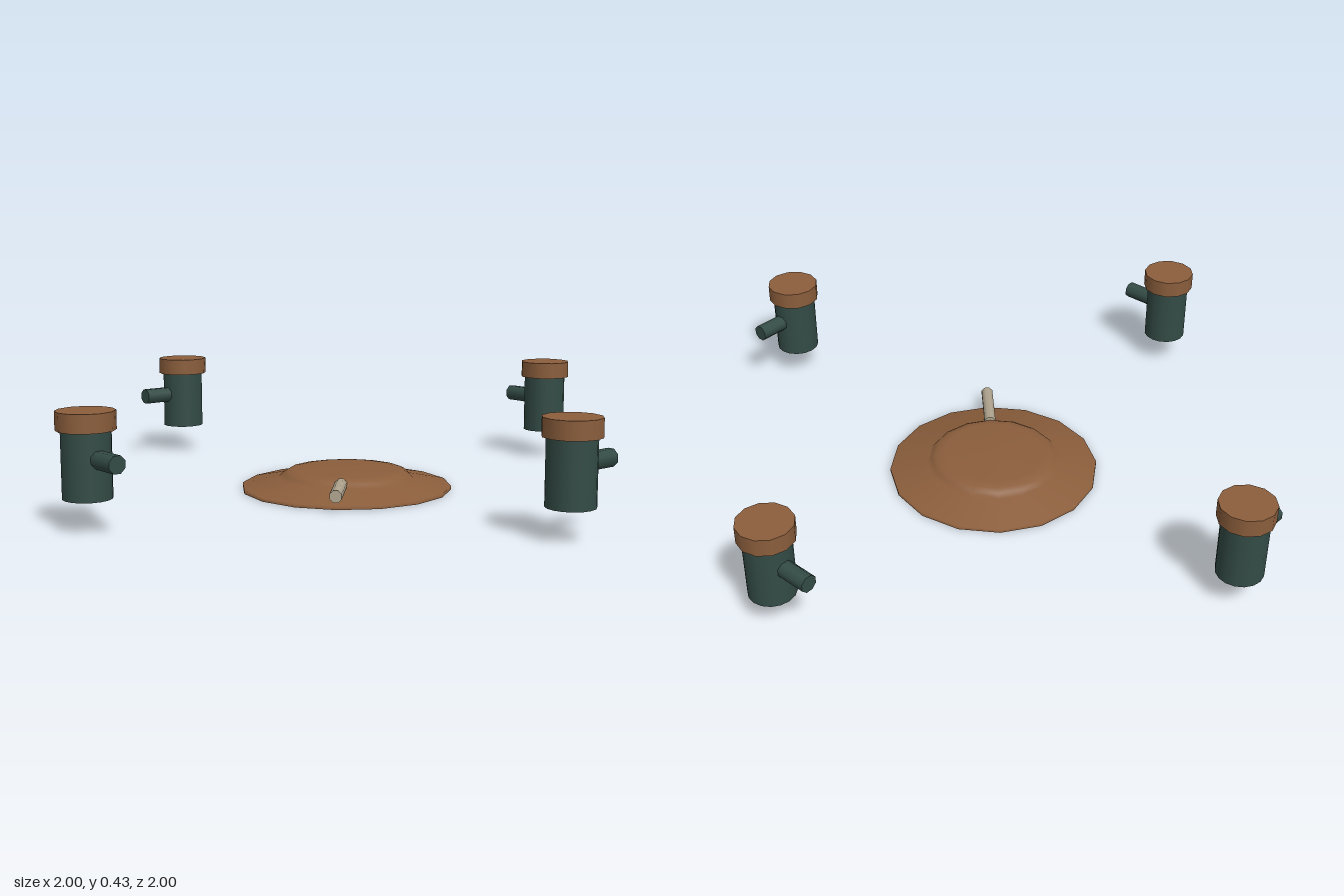
import * as THREE from 'three';

const brown = new THREE.MeshStandardMaterial({ name: 'brown', color: 0x8b5e3c, side: THREE.DoubleSide });
const green = new THREE.MeshStandardMaterial({ name: 'darkGreen', color: 0x344c46 });
const cream = new THREE.MeshStandardMaterial({ name: 'cream', color: 0xb0a58f });

function part(name, geometry, material, x = 0, y = 0, z = 0) {
  const mesh = new THREE.Mesh(geometry, material);
  mesh.name = name;
  mesh.position.set(x, y, z);
  return mesh;
}

// Eight-sided rod lying along +z, flats up and down
function rod(radius, length) {
  return new THREE.CylinderGeometry(radius, radius, length, 8)
    .rotateY(Math.PI / 8)
    .rotateX(Math.PI / 2);
}

// Upright canister with a wider cap and one side pipe
function createCanister(name) {
  const g = new THREE.Group();
  g.name = name;
  g.add(part('body', new THREE.CylinderGeometry(0.089, 0.089, 0.25, 16), green, 0, 0.243, 0));
  g.add(part('cap', new THREE.CylinderGeometry(0.106, 0.106, 0.068, 12), brown, 0, 0.394, 0));
  g.add(part('sidePipe', rod(0.034, 0.165), green, 0, 0.265, 0.1225));
  return g;
}

export function createModel() {
  const model = new THREE.Group();
  model.name = 'dishAndCanisters';

  // Low open-bottomed dish with a raised centre
  const profile = [
    [0.422, 0], [0.422, 0.014], [0.27, 0.046], [0.255, 0.062],
    [0.235, 0.074], [0.2, 0.08], [0, 0.086],
  ].map(([r, y]) => new THREE.Vector2(r, y));
  model.add(part('dish', new THREE.LatheGeometry(profile, 16), brown));

  // Short bar resting on the front slope
  model.add(part('frontBar', rod(0.025, 0.23), cream, 0, 0.061, 0.355));

  // Four canisters, each pipe turned a quarter further round
  const corners = [
    ['frontRightCanister', -1, 1, 1, 1],
    ['frontLeftCanister', 1, 1, 1, -1],
    ['backLeftCanister', 1, -1, -1, -1],
    ['backRightCanister', -1, -1, -1, 1],
  ];
  for (const [name, sx, sz, dx, dz] of corners) {
    const canister = createCanister(name);
    canister.position.set(sx * 0.833, 0, sz * 0.833);
    canister.rotation.y = Math.atan2(dx, dz);
    model.add(canister);
  }
  return model;
}
